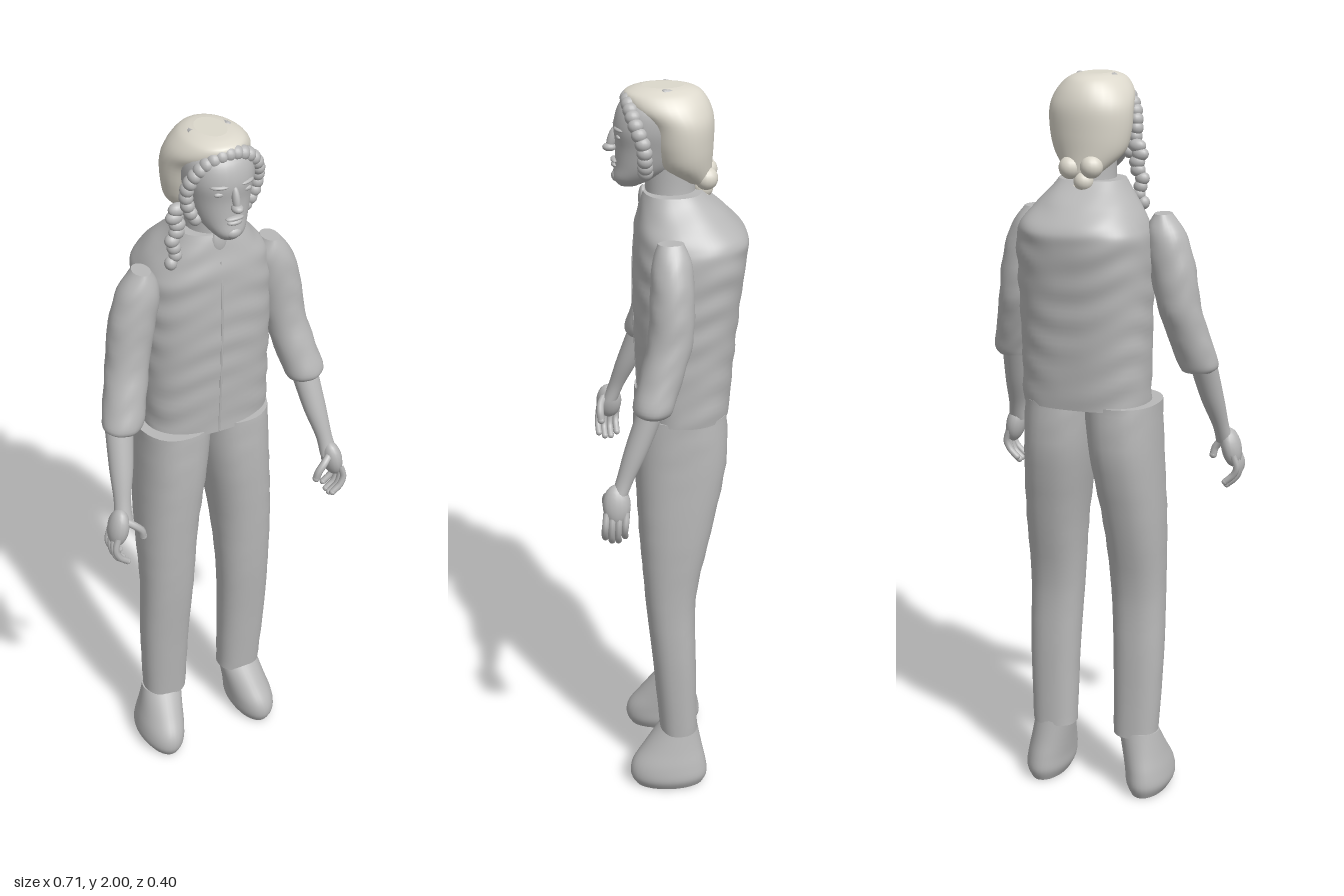
import * as THREE from 'three';

const grey = new THREE.MeshStandardMaterial({ color: 0xb8b8b8 });
grey.name = 'stoneGrey';
const cream = new THREE.MeshStandardMaterial({ color: 0xdcd8cc });
cream.name = 'creamHair';

function add(group, name, geometry, material = grey) {
  const mesh = new THREE.Mesh(geometry, material);
  mesh.name = name;
  group.add(mesh);
  return mesh;
}

// Smooth interpolation between four values
function spline(a, b, c, d, t) {
  return 0.5 * (2 * b + (c - a) * t + (2 * a - 5 * b + 4 * c - d) * t * t + (3 * b - a - 3 * c + d) * t * t * t);
}

// Skin over horizontal sections [y, xMin, xMax, zMin, zMax], lowest first
function loft(sections, { steps = 5, sides = 32, power = 2, ripple = 0 } = {}) {
  const rings = [];
  const n = sections.length;
  for (let i = 0; i < n - 1; i++) {
    for (let k = 0; k < steps + (i === n - 2 ? 1 : 0); k++) {
      const at = (j) => sections[Math.min(n - 1, Math.max(0, j))];
      rings.push(at(i).map((v, c) => spline(at(i - 1)[c], v, at(i + 1)[c], at(i + 2)[c], k / steps)));
    }
  }
  const pos = [], index = [];
  const round = (v) => Math.sign(v) * Math.abs(v) ** (2 / power);
  const pushRing = ([y, x0, x1, z0, z1]) => {
    const start = pos.length / 3;
    for (let j = 0; j < sides; j++) {
      const t = (j / sides) * Math.PI * 2;
      const r = 1 + ripple * Math.sin(y * 75 + 1.6 * Math.sin(3 * t)) * Math.cos(2 * t + y * 9);
      pos.push((x0 + x1) / 2 + round(Math.cos(t)) * r * (x1 - x0) / 2, y,
        (z0 + z1) / 2 + round(Math.sin(t)) * r * (z1 - z0) / 2);
    }
    return start;
  };
  const starts = rings.map(pushRing);
  for (let i = 0; i < starts.length - 1; i++) {
    for (let j = 0; j < sides; j++) {
      const k = (j + 1) % sides;
      const a = starts[i] + j, b = starts[i + 1] + j, c = starts[i + 1] + k, d = starts[i] + k;
      index.push(a, b, d, b, c, d);
    }
  }
  // Separate end caps keep the rims crisp
  for (const top of [false, true]) {
    const ring = rings[top ? rings.length - 1 : 0];
    const s = pushRing(ring);
    const centre = pos.length / 3;
    pos.push((ring[1] + ring[2]) / 2, ring[0], (ring[3] + ring[4]) / 2);
    for (let j = 0; j < sides; j++) {
      const k = (j + 1) % sides;
      index.push(centre, s + (top ? k : j), s + (top ? j : k));
    }
  }
  const g = new THREE.BufferGeometry();
  g.setAttribute('position', new THREE.Float32BufferAttribute(pos, 3));
  g.setIndex(index);
  g.computeVertexNormals();
  return g;
}

// Mirror sections given as distances from the body's middle
function sided(s, mid, sections) {
  return sections.map(([y, a, b, z0, z1]) => [y, mid + Math.min(s * a, s * b), mid + Math.max(s * a, s * b), z0, z1]);
}

function blob(group, name, p, r, material = grey) {
  const mesh = add(group, name, new THREE.SphereGeometry(1, 16, 12), material);
  mesh.position.set(...p);
  mesh.scale.set(...r);
  return mesh;
}

function tube(group, name, points, radius, material = grey) {
  const curve = new THREE.CatmullRomCurve3(points.map((p) => new THREE.Vector3(...p)));
  const mesh = add(group, name, new THREE.TubeGeometry(curve, 24, radius, 8), material);
  blob(group, name + 'Tip', points[points.length - 1], [radius, radius, radius], material);
  return mesh;
}

function buildSide(s, side) {
  const g = new THREE.Group();
  g.name = side + 'Limbs';
  add(g, side + 'Trouser', loft(sided(s, 0.01, [
    [0.17, 0.06, 0.185, -0.065, 0.04], [0.4, 0.055, 0.195, -0.06, 0.06], [0.6, 0.045, 0.195, -0.06, 0.08],
    [0.8, 0.03, 0.197, -0.1, 0.092], [1.0, 0.0, 0.19, -0.14, 0.1], [1.145, -0.015, 0.185, -0.14, 0.096],
  ]), { power: 2.3, ripple: 0.012 }));
  add(g, side + 'Shoe', loft(sided(s, 0.005, [
    [0, 0.105, 0.2, -0.08, 0.11], [0.03, 0.09, 0.215, -0.092, 0.125], [0.07, 0.085, 0.212, -0.088, 0.12],
    [0.12, 0.078, 0.2, -0.077, 0.085], [0.185, 0.068, 0.185, -0.064, 0.037],
  ])));
  add(g, side + 'Sleeve', loft(sided(s, 0.012, [
    [1.22, 0.222, 0.31, 0.02, 0.105], [1.24, 0.212, 0.322, 0.01, 0.115], [1.3, 0.195, 0.308, -0.01, 0.1],
    [1.4, 0.17, 0.285, -0.04, 0.075], [1.5, 0.148, 0.272, -0.045, 0.068], [1.59, 0.135, 0.245, -0.04, 0.062],
    [1.645, 0.16, 0.205, -0.02, 0.045],
  ]), { ripple: 0.025 }));
  add(g, side + 'Forearm', loft(sided(s, 0.005, [
    [1.0, 0.285, 0.335, 0.135, 0.178], [1.05, 0.28, 0.325, 0.115, 0.16], [1.13, 0.257, 0.32, 0.075, 0.137],
    [1.24, 0.235, 0.31, 0.03, 0.1],
  ])));

  // Hand with four curled fingers and a thumb
  const x = (d) => s * d;
  const palm = blob(g, side + 'Palm', [x(0.322), 0.985, 0.16], [0.027, 0.055, 0.036]);
  palm.rotation.z = s * 0.2;
  for (let i = 0; i < 4; i++) {
    const z = 0.135 + i * 0.017;
    const drop = [0.012, 0, 0, 0.01][i];
    tube(g, side + 'Finger', [[x(0.334), 0.97, z], [x(0.344), 0.935, z + 0.004],
      [x(0.335), 0.9 + drop, z + 0.006], [x(0.312), 0.878 + drop, z + 0.004]], 0.009);
  }
  tube(g, side + 'Thumb', [[x(0.312), 1.01, 0.17], [x(0.285), 0.992, 0.184], [x(0.268), 0.972, 0.186], [x(0.262), 0.95, 0.184]], 0.0105);
  return g;
}

function buildHead() {
  const g = new THREE.Group();
  g.name = 'head';
  add(g, 'neck', loft([
    [1.64, -0.06, 0.1, -0.075, 0.07], [1.72, -0.04, 0.08, -0.06, 0.068], [1.82, -0.04, 0.08, -0.06, 0.07],
  ]));
  add(g, 'face', loft([
    [1.745, -0.005, 0.045, 0.085, 0.135], [1.765, -0.025, 0.065, 0.04, 0.15], [1.8, -0.048, 0.086, -0.02, 0.145],
    [1.85, -0.062, 0.1, -0.05, 0.143], [1.9, -0.07, 0.11, -0.06, 0.147], [1.95, -0.064, 0.104, -0.06, 0.132],
    [1.985, -0.03, 0.07, -0.03, 0.095],
  ], { power: 2.2 }));
  const mid = 0.02;
  const nose = blob(g, 'noseBridge', [mid, 1.865, 0.15], [0.01, 0.034, 0.012]);
  nose.rotation.x = -0.3;
  blob(g, 'noseTip', [mid, 1.842, 0.157], [0.015, 0.011, 0.018]);
  blob(g, 'upperLip', [mid, 1.81, 0.145], [0.025, 0.006, 0.01]);
  blob(g, 'lowerLip', [mid, 1.798, 0.144], [0.02, 0.007, 0.01]);
  blob(g, 'chin', [mid, 1.768, 0.138], [0.022, 0.016, 0.016]);
  for (const s of [-1, 1]) {
    blob(g, 'eye', [mid + s * 0.035, 1.878, 0.134], [0.016, 0.007, 0.008]);
    const brow = blob(g, 'brow', [mid + s * 0.036, 1.897, 0.134], [0.024, 0.006, 0.011]);
    brow.rotation.y = s * 0.35;
  }

  // Hair cap, drawn back from the face
  add(g, 'hairCap', loft([
    [1.755, -0.03, 0.07, -0.1, -0.03], [1.8, -0.075, 0.11, -0.102, 0.04], [1.85, -0.09, 0.126, -0.105, 0.06],
    [1.91, -0.093, 0.13, -0.106, 0.075], [1.95, -0.084, 0.121, -0.096, 0.113], [1.98, -0.062, 0.098, -0.077, 0.121],
    [1.993, -0.04, 0.075, -0.055, 0.1], [1.998, -0.02, 0.055, -0.03, 0.075],
  ]), cream);

  // Loose curls framing the face
  for (let i = 0; i <= 22; i++) {
    const t = -0.75 + (i / 22) * (Math.PI + 1.5);
    const j = Math.sin(i * 12.9) * 0.004;
    const high = Math.max(0, Math.sin(t));
    blob(g, 'curl', [mid + Math.cos(t) * (0.094 + j), 1.865 + Math.sin(t) * (0.104 + j), 0.07 + high * 0.042 + j],
      [0.018, 0.019, 0.02]);
  }

  // Arched band over the crown
  const arch = [];
  for (let i = 0; i <= 8; i++) {
    const t = Math.PI * (i / 8);
    arch.push([0.017 - Math.cos(t) * 0.048, 1.989 - Math.sin(t) * 0.014, 0.02 - Math.sin(t) * 0.08]);
  }
  tube(g, 'crownBand', arch, 0.01);

  // Knotted hair at the nape and a plait over the right shoulder
  for (const [x, y, z, r] of [[-0.01, 1.77, -0.088, 0.03], [0.05, 1.765, -0.085, 0.03], [0.015, 1.73, -0.08, 0.026], [0.035, 1.705, -0.075, 0.02]]) {
    blob(g, 'napeKnot', [x, y, z], [r, r, r], cream);
  }
  for (let i = 0; i < 8; i++) {
    const r = 0.024 - i * 0.0011;
    blob(g, 'plait', [-0.085 - 0.007 * Math.sin(i * 1.9) - i * 0.002, 1.81 - i * 0.021, 0.045], [r, 0.018, 0.017]);
  }
  return g;
}

export function createModel() {
  const model = new THREE.Group();
  model.name = 'standingFigure';

  // Quilted waistcoat with sloping shoulders
  add(model, 'waistcoat', loft([
    [1.135, -0.148, 0.2, -0.15, 0.09], [1.3, -0.15, 0.2, -0.163, 0.098], [1.45, -0.152, 0.203, -0.178, 0.103],
    [1.57, -0.152, 0.203, -0.193, 0.1], [1.62, -0.142, 0.192, -0.19, 0.098], [1.67, -0.11, 0.155, -0.145, 0.09],
    [1.71, -0.08, 0.122, -0.1, 0.08], [1.73, -0.066, 0.108, -0.078, 0.074],
  ], { steps: 10, sides: 64, power: 2.4, ripple: 0.014 }));
  // Throat opening and front seam
  blob(model, 'throatOpening', [0.015, 1.705, 0.074], [0.022, 0.035, 0.012]);
  tube(model, 'frontSeam', [[0.012, 1.66, 0.089], [0.012, 1.57, 0.098], [0.012, 1.45, 0.101], [0.012, 1.3, 0.096], [0.012, 1.14, 0.088]], 0.004);

  model.add(buildSide(1, 'left'), buildSide(-1, 'right'), buildHead());
  return model;
}
